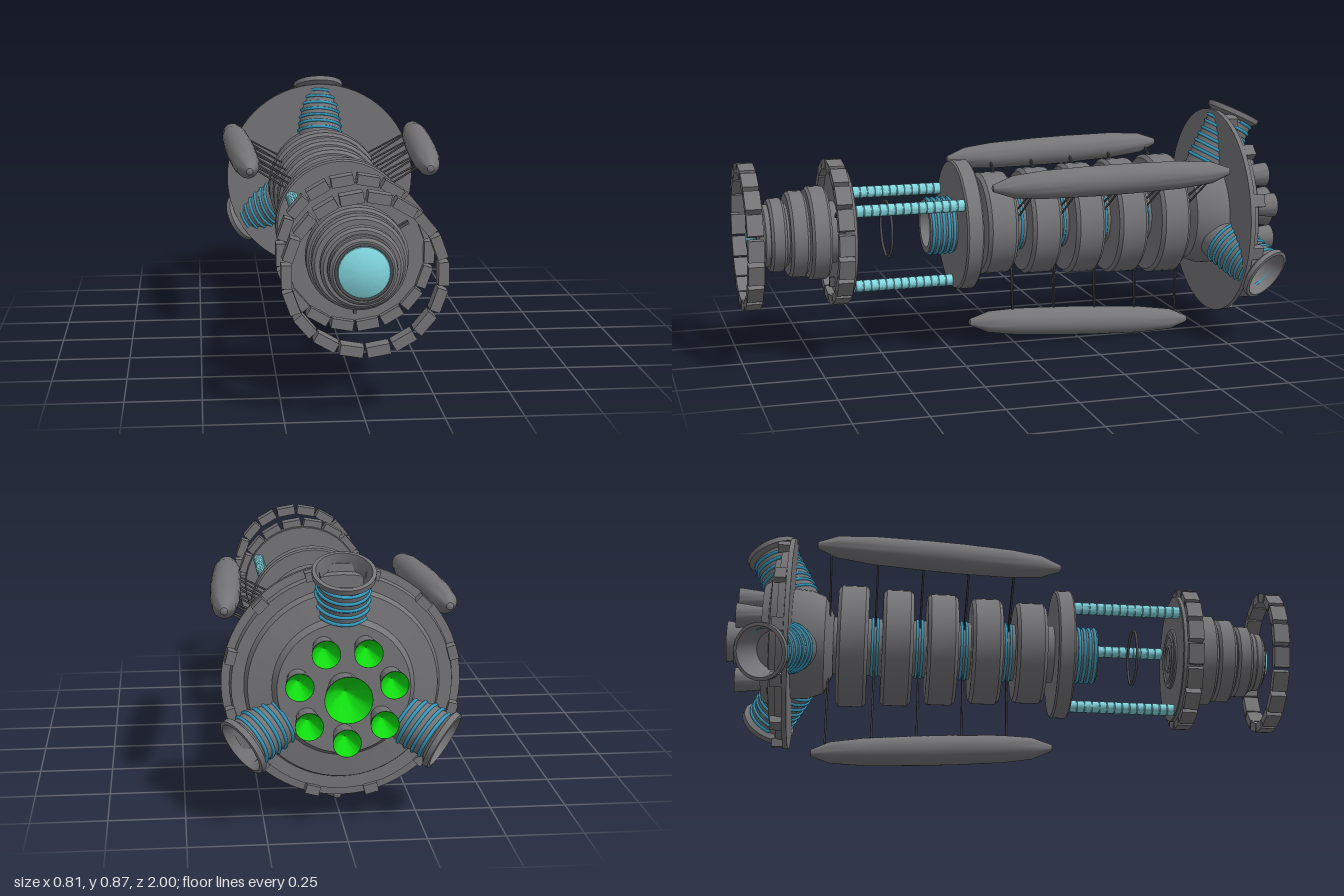
import * as THREE from 'three';
import { toCreasedNormals } from 'three/addons/utils/BufferGeometryUtils.js';

const mat = (name, color) => {
  const m = new THREE.MeshStandardMaterial({ color });
  m.name = name;
  return m;
};

export function createModel() {
  const hull = mat('hull grey', 0x757578);
  const dark = mat('dark grey', 0x515154);
  const cyan = mat('pale cyan', 0x82d6df);
  const blue = mat('coil blue', 0x339fc5);
  const green = mat('engine green', 0x10dc10);

  const root = new THREE.Group();
  root.name = 'spaceStation';
  const ship = new THREE.Group();
  ship.name = 'ship';
  ship.position.y = 0.46;
  root.add(ship);

  const add = (parent, name, geometry, material) => {
    const m = new THREE.Mesh(geometry, material);
    m.name = name;
    parent.add(m);
    return m;
  };
  const group = (parent, name, angle = 0) => {
    const g = new THREE.Group();
    g.name = name;
    g.rotation.z = angle;
    parent.add(g);
    return g;
  };
  // Turned shape about y from [radius, height] pairs, with sharp corners kept
  const lathe = (pts, sides = 40) => toCreasedNormals(
    new THREE.LatheGeometry(pts.map(p => new THREE.Vector2(p[0], p[1])), sides), 0.6);
  // Same, about the ship's z axis
  const latheZ = (pts, sides) => lathe(pts, sides).rotateX(Math.PI / 2);
  // Drum between two z values with bevelled edges
  const drum = (parent, name, z0, z1, r, b, material, sides) => add(parent, name, latheZ([
    [0, z0], [r - b, z0], [r, z0 + b], [r, z1 - b], [r - b, z1], [0, z1]], sides), material);
  const ring = (parent, name, z, r, tube, material) => {
    const m = add(parent, name, new THREE.TorusGeometry(r, tube, 6, 40), material);
    m.position.z = z;
    return m;
  };
  const rod = (parent, name, a, b, r, material) => {
    const va = new THREE.Vector3(...a), d = new THREE.Vector3(...b).sub(va);
    const m = add(parent, name, new THREE.CylinderGeometry(r, r, d.length(), 8), material);
    m.position.copy(va).addScaledVector(d, 0.5);
    m.quaternion.setFromUnitVectors(new THREE.Vector3(0, 1, 0), d.normalize());
  };

  // Front command section: stepped drums and a domed cyan window
  const bow = group(ship, 'commandSection');
  drum(bow, 'bowCore', 0.63, 0.92, 0.11, 0.004, hull);
  [[0.695, 0.765, 0.165], [0.77, 0.835, 0.152], [0.845, 0.9, 0.13], [0.9, 0.948, 0.106]]
    .forEach(d => drum(bow, 'bowDrum', d[0], d[1], d[2], 0.009, hull));
  add(bow, 'bowWindow', latheZ([[0.084, 0.945], [0.08, 0.956], [0.05, 0.97], [0, 0.977]]), cyan);
  ring(bow, 'windowFrame', 0.95, 0.086, 0.005, dark);

  // Two rings of blocks, the rear one on a disc
  for (const z of [0.97, 0.662]) {
    for (let i = 0; i < 18; i++) {
      const g = group(bow, 'blockRing', i * Math.PI / 9);
      add(g, 'ringBlock', new THREE.BoxGeometry(0.033, 0.073, 0.055), hull).position.set(0.24, 0, z);
    }
  }
  drum(bow, 'bowDisc', 0.62, 0.665, 0.232, 0.003, hull);
  drum(bow, 'bowDiscHub', 0.61, 0.63, 0.11, 0.004, hull);
  ring(bow, 'hubRing', 0.61, 0.085, 0.006, hull);
  ring(bow, 'hubRing', 0.61, 0.045, 0.006, hull);

  // Open truss: thin hoop and three beaded cyan columns
  ring(ship, 'trussHoop', 0.475, 0.1, 0.005, dark);
  for (let k = 0; k < 3; k++) {
    const g = group(ship, 'trussColumn', Math.PI / 3 + k * Math.PI * 2 / 3);
    rod(g, 'columnCore', [0, 0.205, 0.22], [0, 0.205, 0.63], 0.0185, cyan);
    for (let i = 0; i < 14; i++) {
      const z = 0.236 + i * 0.0275;
      drum(g, 'columnBead', z, z + 0.025, 0.0215, 0.001, cyan, 12).position.y = 0.205;
    }
    add(g, 'bowFin', new THREE.BoxGeometry(0.01, 0.035, 0.02), dark).position.set(0, 0.182, 0.675);
  }

  // Docking collar: open tube wrapped in blue rings
  add(ship, 'dockingCollar', latheZ([[0.098, 0.22], [0.098, 0.335], [0.075, 0.335], [0.065, 0.25], [0, 0.25]]), hull);
  for (let i = 0; i < 5; i++) ring(ship, 'collarRing', 0.248 + i * 0.019, 0.099, 0.006, blue);

  // Main hull: flange, five growing drums and ringed necks
  drum(ship, 'hullFlange', 0.175, 0.236, 0.234, 0.006, hull);
  drum(ship, 'hullCore', -0.68, 0.2, 0.104, 0.002, hull);
  for (let i = 0; i < 5; i++) {
    const z = 0.088 - i * 0.16;
    drum(ship, 'hullDrum', z - 0.055, z + 0.055, 0.184 + i * 0.009, 0.012, hull);
    if (i < 4) for (const dz of [-0.009, 0.009]) ring(ship, 'neckRing', z - 0.08 + dz, 0.104, 0.005, blue);
  }

  // Engine housing and the large stern disc
  add(ship, 'engineHousing', latheZ([
    [0.19, -0.79], [0.2, -0.76], [0.195, -0.7], [0.175, -0.65], [0.11, -0.62], [0, -0.62]]), hull);
  add(ship, 'sternDisc', latheZ([
    [0, -0.87], [0.21, -0.87], [0.225, -0.845], [0.3, -0.835], [0.31, -0.81], [0.35, -0.81],
    [0.355, -0.786], [0.381, -0.784], [0.381, -0.767], [0, -0.767]], 64), hull);
  for (let i = 0; i < 12; i++) {
    const g = group(ship, 'sternTabs', (i + 0.5) * Math.PI / 6);
    add(g, 'sternTab', new THREE.BoxGeometry(0.03, 0.045, 0.04), hull).position.set(0.362, 0, -0.805);
  }

  // Rear engines: grey bell with a green throat
  const engine = (x, y, z, r0, r1, h) => {
    const g = group(ship, 'engine');
    g.position.set(x, y, z);
    g.rotation.x = -Math.PI / 2;
    add(g, 'engineBell', lathe([[r0, 0], [r1, h], [r1 - 0.001, h]], 28), hull);
    add(g, 'engineThroat', lathe([[r1 - 0.001, h], [r0 * 0.7, h * 0.5], [0, h * 0.25]], 28), green);
  };
  engine(0, 0, -0.86, 0.05, 0.075, 0.14);
  for (let i = 0; i < 7; i++) {
    const a = -Math.PI / 2 + i * Math.PI * 2 / 7;
    engine(Math.cos(a) * 0.15, Math.sin(a) * 0.15, -0.855, 0.032, 0.045, 0.108);
  }

  // Three angled thrusters wrapped in a blue coil, passing through the disc
  const coilPoints = [];
  for (let i = 0; i <= 112; i++) {
    const t = i / 112, a = t * Math.PI * 14, r = 0.087 - 0.005 * t;
    coilPoints.push(new THREE.Vector3(Math.cos(a) * r, 0.04 + t * 0.185, Math.sin(a) * r));
  }
  const coil = new THREE.TubeGeometry(new THREE.CatmullRomCurve3(coilPoints), 240, 0.006, 6);
  const body = lathe([[0.087, 0], [0.086, 0.06], [0.081, 0.235]]);
  const cup = lathe([[0.081, 0.228], [0.1, 0.24], [0.1, 0.258],
    [0.088, 0.26], [0.076, 0.22], [0.066, 0.16], [0, 0.16]]);
  for (let k = 0; k < 3; k++) {
    const g = group(group(ship, 'sideThruster', k * Math.PI * 2 / 3), 'thrusterTilt');
    g.position.set(0, 0.14, -0.75);
    g.rotation.x = -0.445;
    add(g, 'thrusterBody', body, hull);
    add(g, 'thrusterCoil', coil, blue);
    add(g, 'thrusterNozzle', cup, hull);
  }

  // Three long side pods held by pairs of thin struts
  const podShape = latheZ([[0, -0.432], [0.012, -0.427], [0.038, -0.36], [0.049, -0.24], [0.053, -0.05],
    [0.053, 0.08], [0.049, 0.25], [0.039, 0.355], [0.012, 0.427], [0, 0.432]], 28);
  for (let k = 0; k < 3; k++) {
    const g = group(ship, 'podAssembly', Math.PI / 3 + k * Math.PI * 2 / 3);
    const pod = add(g, 'pod', podShape, hull);
    pod.position.set(0, 0.395, -0.256);
    pod.rotation.x = 0.06;
    for (const z of [0.008, -0.152, -0.312, -0.472, -0.635])
      for (const s of [-1, 1]) rod(g, 'podStrut', [s * 0.014, 0.095, z], [s * 0.003, 0.38, z], 0.0035, dark);
  }
  return root;
}
